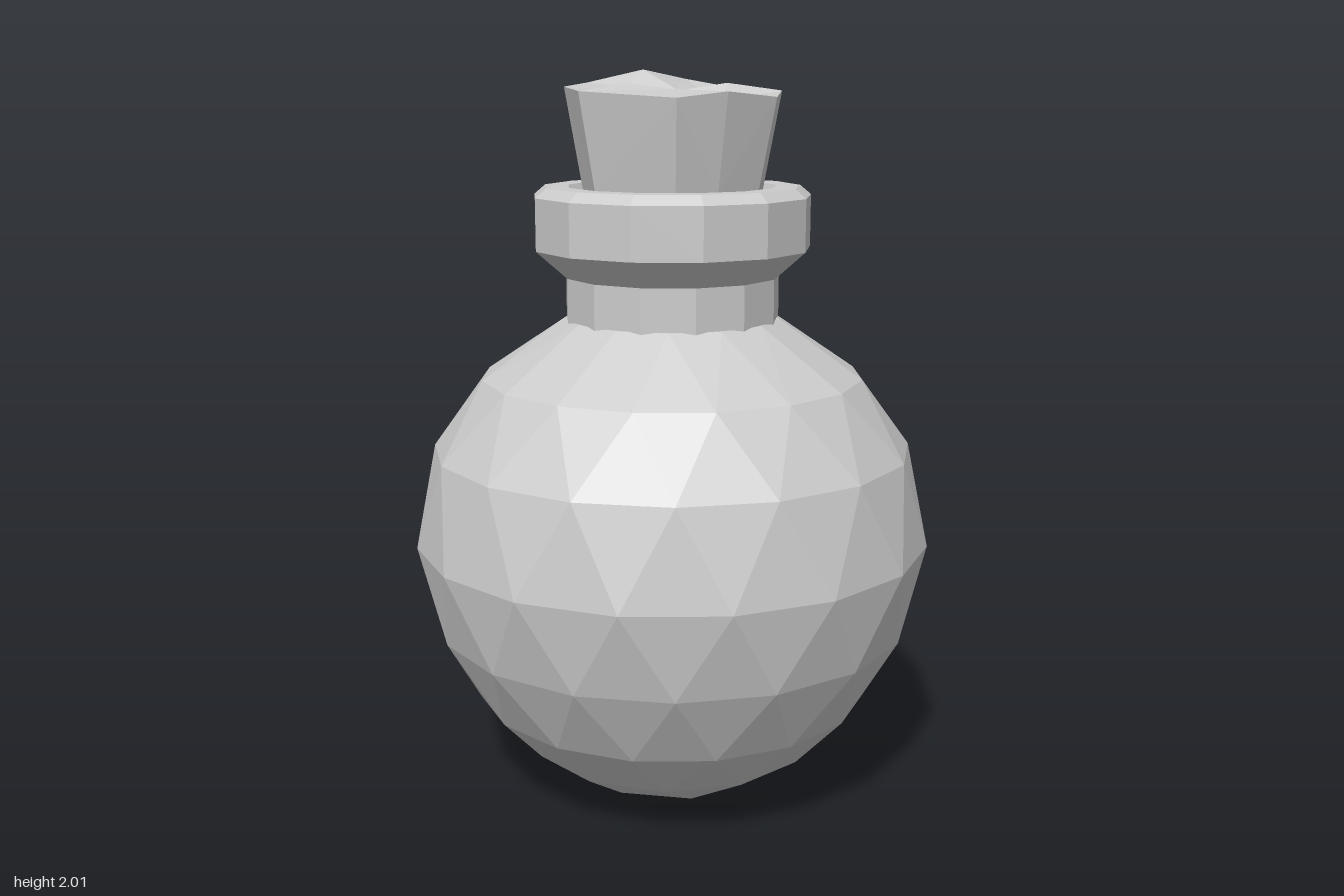
import * as THREE from 'three';
import { ConvexGeometry } from 'three/addons/geometries/ConvexGeometry.js';

const material = new THREE.MeshStandardMaterial({ color: 0xcccccc, flatShading: true });
const openMaterial = new THREE.MeshStandardMaterial({ color: 0xcccccc, flatShading: true, side: THREE.DoubleSide });

function addMesh(group, name, geometry, mat = material) {
  const mesh = new THREE.Mesh(geometry, mat);
  mesh.name = name;
  group.add(mesh);
}

// Round faceted flask: staggered rings of points wrapped in a hull
function flaskGeometry() {
  const rings = [ // height, radius, points
    [0.045, 0.26, 8], [0.14, 0.41, 12], [0.29, 0.55, 16], [0.5, 0.662, 16], [0.74, 0.715, 16],
    [1.0, 0.662, 16], [1.2, 0.525, 16], [1.36, 0.295, 13],
  ];
  const points = [new THREE.Vector3(0.01, 0.005, 0.02)];
  rings.forEach(([y, r, n], row) => {
    for (let i = 0; i < n; i++) {
      const a = ((i + (row % 2) / 2) / n) * Math.PI * 2;
      points.push(new THREE.Vector3(Math.sin(a) * r, y, Math.cos(a) * r));
    }
  });
  return new ConvexGeometry(points);
}

// Neck with a chamfered lip and an inner wall
function neckGeometry() {
  const profile = [
    [0.295, 1.34], [0.295, 1.475], [0.38, 1.55], [0.38, 1.69], [0.35, 1.715],
    [0.285, 1.715], [0.265, 1.68], [0.255, 1.37],
  ].map(([r, y]) => new THREE.Vector2(r, y));
  return new THREE.LatheGeometry(profile, 13);
}

// Tapered cork with a rough, uneven top
function corkGeometry() {
  const rim = [ // x, y, z
    [-0.05, 1.95, 0.29], [0.09, 1.965, 0.26], [0.24, 1.95, 0.18], [0.29, 1.965, 0.05],
    [0.22, 1.97, -0.18], [0.1, 1.995, -0.285], [-0.1, 2.0, -0.285], [-0.19, 1.985, -0.24],
    [-0.275, 1.975, -0.1], [-0.27, 1.965, 0.12],
  ];
  const n = rim.length;
  const scaled = (s, y) => rim.map(p => [p[0] * s, y ?? p[1], p[2] * s]);
  const rings = [scaled(0.7, 1.42), scaled(0.84, 1.71), rim];
  // Inner top ring dips and rises in turn
  rings.push(rim.map(([x, y, z], i) => [x * 0.5, y + (i % 3 === 0 ? 0.02 : -0.01), z * 0.5]));
  const vertices = [...rings.flat(), [0, 1.42, 0], [0.02, 1.965, -0.01]];
  const base = rings.length * n, index = [];
  for (let i = 0; i < n; i++) {
    const j = (i + 1) % n;
    for (let k = 0; k < rings.length - 1; k++) {
      const a = k * n + i, b = k * n + j, c = a + n, d = b + n;
      if (i % 2) index.push(a, b, d, a, d, c);
      else index.push(a, b, c, b, d, c);
    }
    const top = (rings.length - 1) * n;
    index.push(base, j, i, base + 1, top + i, top + j);
  }
  const geometry = new THREE.BufferGeometry();
  geometry.setAttribute('position', new THREE.Float32BufferAttribute(vertices.flat(), 3));
  geometry.setIndex(index);
  const flat = geometry.toNonIndexed();
  flat.computeVertexNormals();
  return flat;
}

export function createModel() {
  const group = new THREE.Group();
  group.name = 'corkedFlask';
  addMesh(group, 'flaskBody', flaskGeometry());
  addMesh(group, 'neckAndLip', neckGeometry(), openMaterial);
  addMesh(group, 'cork', corkGeometry());
  return group;
}
